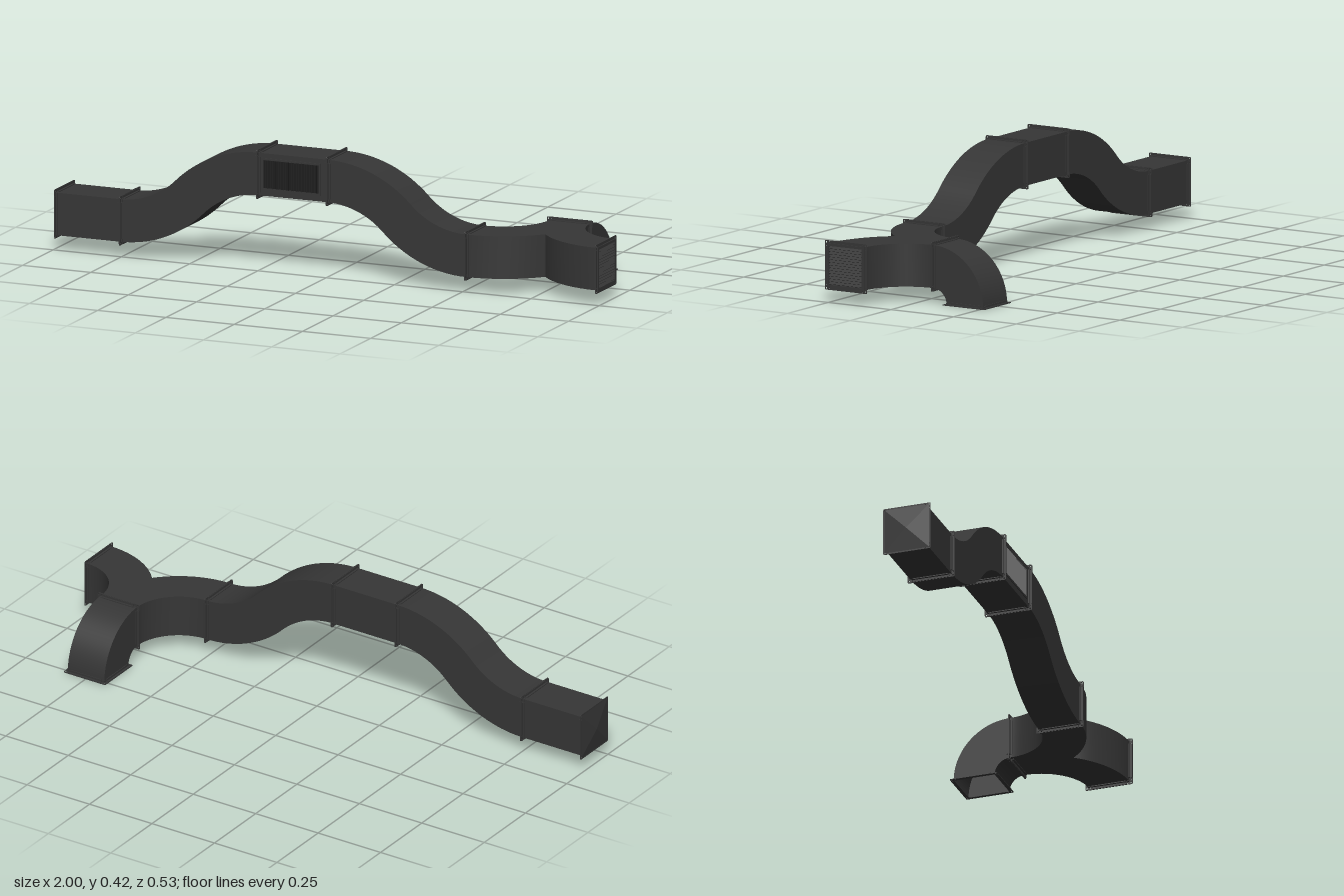
import * as THREE from 'three';
import { mergeGeometries } from 'three/addons/utils/BufferGeometryUtils.js';

const H = 0.073;                       // half width of the square duct
const LOW = 0.126, HIGH = 0.334, Z = 0.183;
const V = (x, y, z) => new THREE.Vector3(x, y, z);
const metal = new THREE.MeshStandardMaterial({ color: 0x363636, side: THREE.DoubleSide });
const dark = new THREE.MeshStandardMaterial({ color: 0x1c1c1c, side: THREE.DoubleSide });

function add(parent, name, geometry, material = metal) {
  const mesh = new THREE.Mesh(geometry, material);
  mesh.name = name;
  parent.add(mesh);
  return mesh;
}

function box(w, h, d, x = 0, y = 0, z = 0) {
  return new THREE.BoxGeometry(w, h, d).translate(x, y, z).toNonIndexed();
}

// Sheet stretched between two rails of points
function sheet(a, b) {
  const pos = [], index = [];
  a.forEach((p, i) => {
    pos.push(...p.toArray(), ...b[i].toArray());
    const k = i * 2;
    if (i) index.push(k - 2, k - 1, k, k, k - 1, k + 1);
  });
  const g = new THREE.BufferGeometry();
  g.setAttribute('position', new THREE.Float32BufferAttribute(pos, 3));
  g.setIndex(index);
  g.computeVertexNormals();
  return g;
}

// Open square duct along stations [centre, in-plane normal], side = constant width direction
function duct(stations, side) {
  const rails = [[1, 1], [1, -1], [-1, -1], [-1, 1]].map(([u, v]) =>
    stations.map(([c, n]) => c.clone().addScaledVector(n, u * H).addScaledVector(side, v * H)));
  return mergeGeometries(rails.map((r, i) => sheet(rails[(i + 1) % 4], r)));
}

function straight(x0, x1, y) {
  return duct([x0, x1].map(x => [V(x, y, Z), V(0, 1, 0)]), V(0, 0, 1));
}

// Two equal arcs rising from (x0, LOW) to (x1, HIGH)
function offset(x0, x1) {
  const s = Math.sign(x1 - x0), L = Math.abs(x1 - x0), rise = HIGH - LOW;
  const angle = 2 * Math.atan(rise / L), R = L / (2 * Math.sin(angle)), N = 16;
  const first = [], second = [];
  for (let i = 0; i <= N; i++) {
    const a = angle * i / N, dx = s * R * Math.sin(a), dy = R * (1 - Math.cos(a));
    const n = V(-s * Math.sin(a), Math.cos(a), 0);
    first.push([V(x0 + dx, LOW + dy, Z), n]);
    if (i < N) second.unshift([V(x1 - dx, HIGH - dy, Z), n]);
  }
  return duct([...first, ...second], V(0, 0, s));
}

// Half of the Y piece: a quarter bend cut off at the middle plane x = 0
function branchHalf() {
  const R = 0.24, inner = [], outer = [], cheek = [];
  const cut = Math.asin(R / (R + H));
  const angles = [];
  for (let i = 0; i <= 14; i++) angles.push(cut * i / 14);
  for (let i = 1; i <= 10; i++) angles.push(cut + (Math.PI / 2 - cut) * i / 10);
  const at = (r, t) => V(-R + r * Math.sin(t), 0, Z - R + r * Math.cos(t));
  angles.forEach((t, i) => {
    inner.push(at(R - H, t));
    outer.push(at(Math.min(R + H, R / Math.sin(t || 1e-6)), t));
    if (i <= 14) cheek.push(at(R + H, t));
  });
  const lift = (pts, y) => pts.map(p => V(p.x, y, p.z));
  const lo = LOW - H, hi = LOW + H;
  return mergeGeometries([
    sheet(lift(inner, hi), lift(outer, hi)),
    sheet(lift(outer, lo), lift(inner, lo)),
    sheet(lift(inner, lo), lift(inner, hi)),
    sheet(lift(cheek, hi), lift(cheek, lo)),
  ]);
}

// Bolted flange: corner plates with holes, edge strips and legs; the duct lies along +z
function flangeGeometry() {
  const o = 0.084, c = 0.005, s = new THREE.Shape();
  s.moveTo(-o + c, -o);
  s.lineTo(o - c, -o); s.quadraticCurveTo(o, -o, o, -o + c);
  s.lineTo(o, o - c); s.quadraticCurveTo(o, o, o - c, o);
  s.lineTo(-o + c, o); s.quadraticCurveTo(-o, o, -o, o - c);
  s.lineTo(-o, -o + c); s.quadraticCurveTo(-o, -o, -o + c, -o);
  const q = H - 0.001;
  s.holes.push(new THREE.Path([[-q, -q], [-q, q], [q, q], [q, -q]].map(p => new THREE.Vector2(...p))));
  for (const sx of [-1, 1]) for (const sy of [-1, 1])
    for (const [x, y, r] of [[0.078, 0.078, 0.003], [0.066, 0.0785, 0.0018], [0.0785, 0.066, 0.0018]])
      s.holes.push(new THREE.Path().absarc(sx * x, sy * y, r, 0, Math.PI * 2, true));
  const parts = [new THREE.ExtrudeGeometry(s, { depth: 0.002, bevelEnabled: false, curveSegments: 4 })];
  for (let i = 0; i < 4; i++) {
    parts.push(
      box(0.124, 0.009, 0.004, 0, 0.0785, 0.002).rotateZ(i * Math.PI / 2),
      box(0.124, 0.003, 0.011, 0, 0.0745, 0.0055).rotateZ(i * Math.PI / 2),
      box(0.146, 0.0015, 0.008, 0, 0.0735, 0.004).rotateZ(i * Math.PI / 2));
  }
  return mergeGeometries(parts);
}

// Rectangular frame with an opening, in the XY plane
function frameGeometry(w, h, border, depth) {
  const x = w / 2 - border / 2, y = h / 2 - border / 2;
  return mergeGeometries([
    box(w, border, depth, 0, y), box(w, border, depth, 0, -y),
    box(border, h - 2 * border, depth, x), box(border, h - 2 * border, depth, -x)]);
}

export function createModel() {
  const model = new THREE.Group();
  model.name = 'ventilationDuct';
  const X = [-0.99, -0.75, -0.247, 0.008, 0.515, 0.755, 0.995];
  const stemZ = Z - 0.24;

  // Straight and rising ducts
  add(model, 'endDuct', straight(X[0], X[1], LOW));
  add(model, 'risingDuct', offset(X[1], X[2]));
  add(model, 'grilleDuct', straight(X[2], X[3], HIGH));
  add(model, 'fallingDuct', offset(X[4], X[3]));

  // Y branch
  for (const s of [1, -1]) {
    const half = add(model, s > 0 ? 'branchRight' : 'branchLeft', branchHalf());
    half.position.x = X[5];
    half.scale.x = s;
  }

  // Elbow turning down to the floor
  const bend = [];
  for (let i = 0; i <= 20; i++) {
    const a = Math.PI / 2 * i / 20, n = V(0, Math.cos(a), -Math.sin(a));
    bend.push([V(X[5], 0, stemZ).addScaledVector(n, LOW), n]);
  }
  add(model, 'downElbow', duct(bend, V(1, 0, 0)));

  // Flanges, in pairs at the joints and single at the ends
  const flangeGeo = flangeGeometry();
  const flange = (p, dir) => {
    const m = add(model, 'flange', flangeGeo);
    m.position.copy(p);
    m.quaternion.setFromUnitVectors(V(0, 0, 1), dir);
  };
  const px = V(1, 0, 0), nx = V(-1, 0, 0);
  [[X[1], LOW], [X[2], HIGH], [X[3], HIGH], [X[4], LOW]].forEach(([x, y]) => {
    flange(V(x, y, Z), px);
    flange(V(x, y, Z), nx);
  });
  flange(V(X[0], LOW, Z), px);
  flange(V(X[6], LOW, Z), nx);
  flange(V(X[5], LOW, stemZ), V(0, 0, 1));
  flange(V(X[5], LOW, stemZ), V(0, 0, -1));
  flange(V(X[5], 0, stemZ - LOW), V(0, 1, 0));

  // Shallow pyramid cap closing the far end
  const cap = new THREE.ConeGeometry(0.079 * Math.SQRT2, 0.01, 4, 1, true)
    .toNonIndexed().rotateY(Math.PI / 4).rotateZ(Math.PI / 2);
  cap.computeVertexNormals();
  add(model, 'endCap', cap).position.set(X[0] - 0.005, LOW, Z);

  // Louvre in the open branch end
  const louvre = new THREE.Group();
  louvre.name = 'endLouvre';
  louvre.position.set(X[6], LOW, Z);
  louvre.rotation.y = Math.PI / 2;
  model.add(louvre);
  add(louvre, 'louvreFrame', frameGeometry(0.15, 0.15, 0.009, 0.008));
  for (let i = 0; i < 14; i++) {
    const slat = add(louvre, 'louvreSlat', box(0.134, 0.0015, 0.011));
    slat.position.set(0, -0.0605 + i * 0.0093, -0.002);
    slat.rotation.x = 0.7;
  }

  // Front grille on the raised duct
  const grille = new THREE.Group();
  grille.name = 'frontGrille';
  grille.position.set(-0.125, HIGH + 0.002, Z + H);
  model.add(grille);
  add(grille, 'grilleFrame', frameGeometry(0.216, 0.11, 0.007, 0.006));
  add(grille, 'grilleBack', box(0.204, 0.098, 0.001, 0, 0, 0.0005), dark);
  for (let i = 0; i < 21; i++) {
    const bar = add(grille, 'grilleBar', box(0.0015, 0.098, 0.004), dark);
    bar.position.set(-0.095 + i * 0.0095, 0, 0.002);
    bar.rotation.y = 0.5;
  }
  return model;
}
